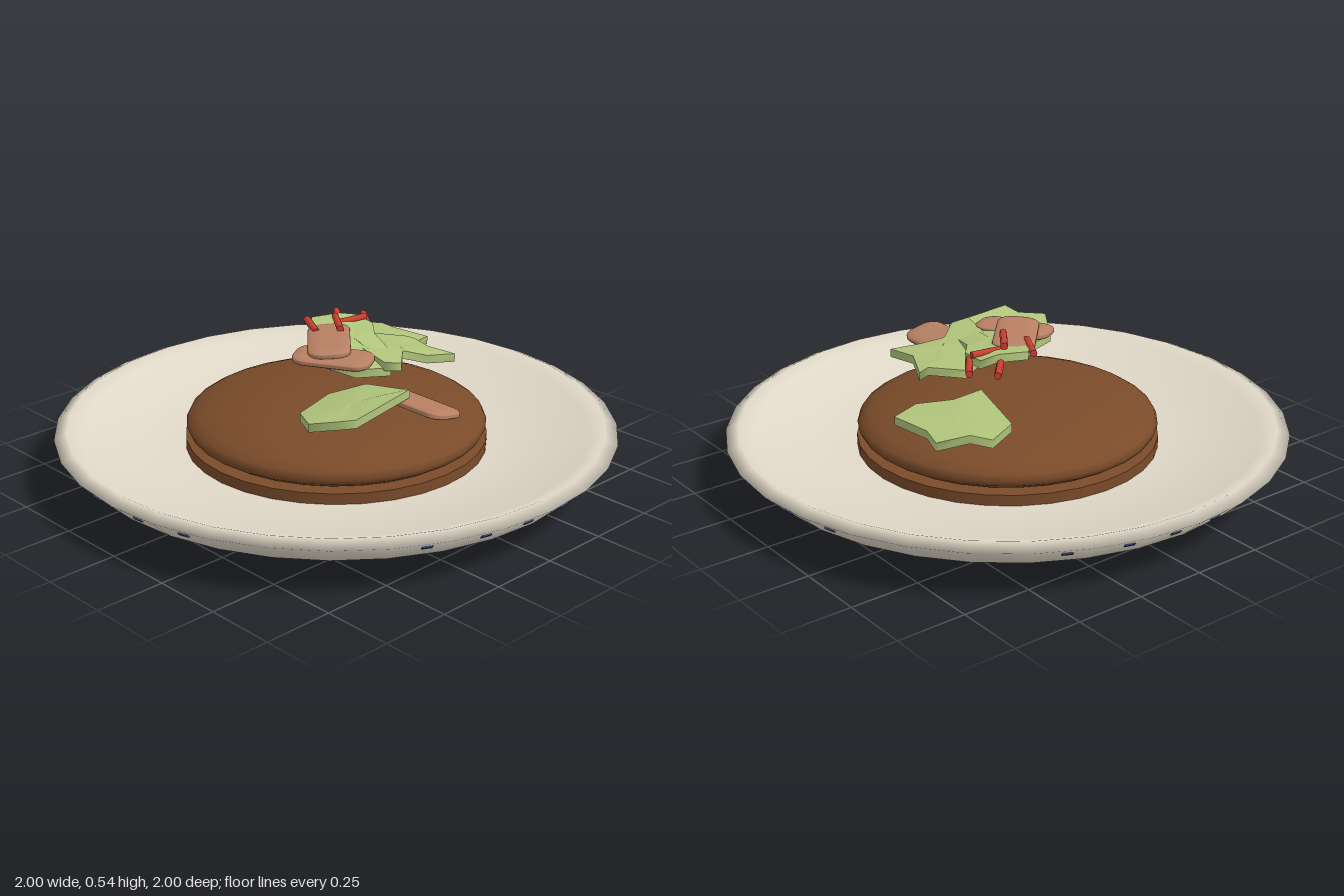
import * as THREE from 'three';
import { RoundedBoxGeometry } from 'three/addons/geometries/RoundedBoxGeometry.js';

const paint = (name, color) => {
  const m = new THREE.MeshStandardMaterial({ color });
  m.name = name;
  return m;
};

// Leaf slab: rings from top centre over the rim to bottom centre, tilted and rippled
function leafGeometry(outline, y, slopeX, slopeZ, ripple) {
  const n = outline.length;
  const cx = outline.reduce((s, p) => s + p[0], 0) / n;
  const cz = outline.reduce((s, p) => s + p[1], 0) / n;
  const half = 0.015;
  const pos = [], idx = [];
  const ring = (scale, offset) => {
    const start = pos.length / 3;
    outline.forEach(([px, pz], i) => {
      const x = cx + (px - cx) * scale, z = cz + (pz - cz) * scale;
      const wave = ripple * scale * Math.sin(i * 2.4 + 1);
      pos.push(x, y + slopeX * (x - cx) + slopeZ * (z - cz) + wave + offset, z);
    });
    return start;
  };
  // outline runs clockwise from above
  const band = (a, b) => {
    for (let i = 0; i < n; i++) {
      const j = (i + 1) % n;
      idx.push(a + i, b + j, b + i, a + i, a + j, b + j);
    }
  };
  const topMid = ring(0.5, half + 0.004);
  band(ring(0, half + 0.004), topMid);
  band(topMid, ring(1, half));
  band(ring(1, half), ring(1, -half));
  band(ring(1, -half), ring(0, -half));
  const g = new THREE.BufferGeometry();
  g.setAttribute('position', new THREE.Float32BufferAttribute(pos, 3));
  g.setIndex(idx);
  g.computeVertexNormals();
  return g;
}

export function createModel() {
  const group = new THREE.Group();
  const cream = paint('cream ceramic', 0xe0d8c8);
  const blue = paint('blue glaze', 0x3a4f8c);
  const brown = paint('brown sauce', 0x7a4b2a);
  const green = paint('leaf green', 0xb2c67c);
  green.side = THREE.DoubleSide;
  const pink = paint('cooked meat', 0xb88064);
  const red = paint('red pepper', 0xcb4030);

  const add = (name, geometry, material, x = 0, y = 0, z = 0) => {
    const mesh = new THREE.Mesh(geometry, material);
    mesh.name = name;
    mesh.position.set(x, y, z);
    group.add(mesh);
    return mesh;
  };

  // Dished plate with a flared wall
  const profile = [
    [0, 0], [0.72, 0], [0.92, 0.105], [1, 0.18], [0.955, 0.2],
    [0.9, 0.18], [0.72, 0.135], [0.53, 0.11], [0, 0.1],
  ].map(([r, y]) => new THREE.Vector2(r, y));
  add('plate', new THREE.LatheGeometry(profile, 32), cream);

  // Broken glaze line on two opposite stretches of the wall
  const dashAngles = [-72, -60, -50, -40, -27, -21, -12, 0, 12, 18, 28, 38, 44, 51, 62];
  for (const side of [45, 225]) {
    for (const angle of dashAngles) {
      const a = THREE.MathUtils.degToRad(side + angle);
      const dash = add('glazeDash', new THREE.BoxGeometry(0.036, 0.014, 0.006), blue,
        0.976 * Math.sin(a), 0.16, 0.976 * Math.cos(a));
      dash.rotation.set(0.8, a, 0, 'YXZ');
    }
  }

  // Flat base with a domed top
  add('sauceBase', new THREE.CylinderGeometry(0.538, 0.538, 0.05, 32), brown, 0, 0.125, 0);
  add('sauceDome', new THREE.SphereGeometry(0.535, 32, 16), brown, 0, 0.198, 0).scale.y = 0.2;

  // Leaves: outline, height, slope along x, slope along z, ripple
  const leaves = [
    [[[0.2, -0.11], [0.27, -0.37], [0.38, -0.41], [0.42, -0.34], [0.52, -0.29], [0.5, -0.21],
      [0.52, -0.05], [0.41, -0.02], [0.31, -0.1]], 0.35, -0.11, 0.02, 0.004],
    [[[-0.43, 0.32], [-0.35, 0.19], [-0.16, 0.13], [-0.05, 0.2], [-0.02, 0.35], [-0.03, 0.39],
      [-0.33, 0.44], [-0.35, 0.385]], 0.385, 0.05, 0.17, 0.006],
    [[[0.02, 0.1], [0.1, 0], [0.22, -0.05], [0.3, 0.06], [0.33, 0.07], [0.28, 0.18],
      [0.3, 0.29], [0.2, 0.25], [0.13, 0.2], [0.03, 0.29], [-0.03, 0.27]], 0.443, -0.16, 0, 0.006],
    [[[-0.17, 0.1], [-0.08, -0.05], [0.05, -0.18], [0.15, -0.14], [0.21, -0.12], [0.2, -0.02],
      [0.14, 0.05], [0.1, 0.17], [0.02, 0.16], [0, 0.27], [-0.12, 0.22]], 0.477, -0.02, -0.12, 0.006],
  ];
  leaves.forEach(([outline, ...rest], i) =>
    add(`leaf${i + 1}`, leafGeometry(outline, ...rest), green));

  // Meat slices with rounded corners: x, y, z, length, heading, sideways tilt
  const slices = [
    [0, 0.368, 0.41, 0.29, 0, -0.2],
    [-0.11, 0.48, 0.1, 0.28, 0.5, 0.05],
    [-0.045, 0.5, 0.01, 0.31, -0.75, 0.05],
  ];
  slices.forEach(([x, y, z, length, heading, tilt], i) => {
    const g = new RoundedBoxGeometry(0.15, 0.15, length, 4, 0.055);
    g.scale(1, 0.22, 1);
    add(`meatSlice${i + 1}`, g, pink, x, y, z).rotation.set(0, heading, tilt);
  });

  // Pepper strips: both ends in plan, and height
  const strips = [
    [-0.03, -0.07, 0.035, -0.19, 0.508],
    [0.02, 0, 0.1, -0.11, 0.525],
    [0.08, -0.09, 0.21, -0.07, 0.507],
    [0.14, -0.14, 0.22, -0.23, 0.485],
    [0.2, -0.04, 0.28, -0.15, 0.48],
  ];
  strips.forEach(([x1, z1, x2, z2, y], i) => {
    const g = new THREE.CylinderGeometry(0.013, 0.013, Math.hypot(x2 - x1, z2 - z1), 8);
    g.rotateZ(Math.PI / 2);
    const strip = add(`pepperStrip${i + 1}`, g, red, (x1 + x2) / 2, y, (z1 + z2) / 2);
    strip.rotation.y = -Math.atan2(z2 - z1, x2 - x1);
  });

  return group;
}
